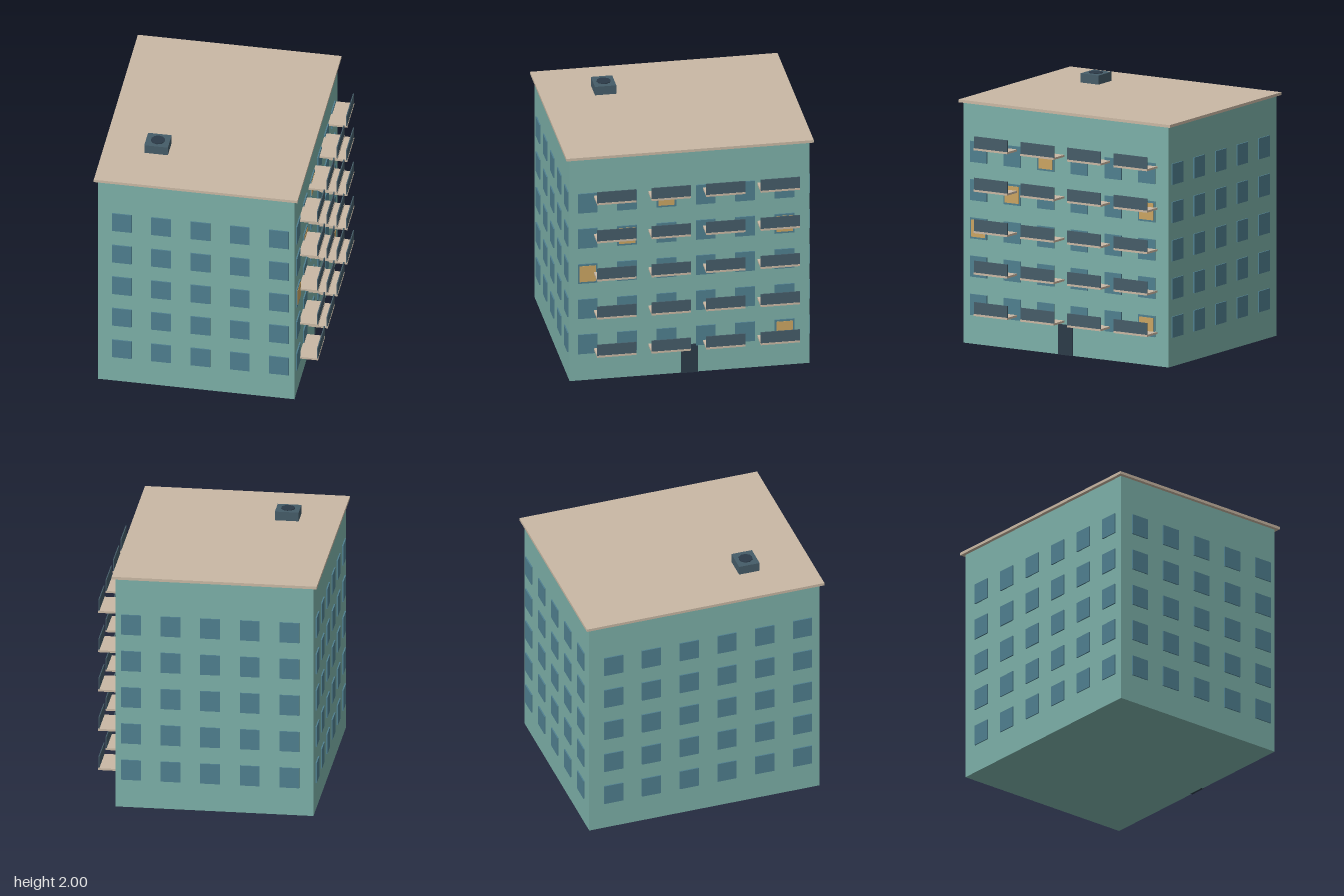
import * as THREE from 'three';

const mat = (color) => new THREE.MeshStandardMaterial({ color, flatShading: true });

export function createModel() {
  const wall = mat(0x7cb0a8), stone = mat(0xc9b8a4), glass = mat(0x4f7f8f);
  const slate = mat(0x455c68), dark = mat(0x2b3a48), glow = mat(0xc9a462);

  const model = new THREE.Group();
  model.name = 'apartmentBlock';

  // Box given by its extents along each axis
  function box(name, material, [x0, x1], [y0, y1], [z0, z1], parent = model) {
    const mesh = new THREE.Mesh(new THREE.BoxGeometry(x1 - x0, y1 - y0, z1 - z0), material);
    mesh.position.set((x0 + x1) / 2, (y0 + y1) / 2, (z0 + z1) / 2);
    mesh.name = name;
    parent.add(mesh);
    return mesh;
  }
  const around = (c, size) => [c - size / 2, c + size / 2];

  // Main volume and overhanging roof slab
  const west = -0.838, east = 0.709, depth = 0.945;
  box('walls', wall, [west, east], [0, 1.9], [-depth, depth]);
  box('roof', stone, [-0.867, 0.737], [1.9, 1.922], [-0.974, 0.974]);

  // Windows: five floors on all four sides
  const windows = new THREE.Group();
  windows.name = 'windows';
  model.add(windows);
  const proud = 0.01, W = 0.155, H = 0.165;
  const lit = ['0,5', '2,0', '3,1', '3,5', '4,2']; // floor,column on the balcony side
  for (let floor = 0; floor < 5; floor++) {
    const yc = 0.311 + floor * 0.302;
    const y = around(yc, H);
    for (let col = 0; col < 5; col++) {
      const x = around(-0.65 + col * 0.3095, W);
      box('frontWindow', glass, x, y, [depth - 0.01, depth + proud], windows);
      box('backWindow', glass, x, y, [-depth - proud, -depth + 0.01], windows);
    }
    for (let col = 0; col < 6; col++) {
      const zc = 0.803 - col * 0.31;
      const z = around(zc, W);
      box('rightWindow', glass, [east - 0.01, east + proud], y, z, windows);
      box('leftWindow', glass, [west - proud, west + 0.01], y, z, windows);
      if (lit.includes(`${floor},${col}`)) {
        box('litPane', glow, [east, east + proud + 0.003], around(yc, 0.135), around(zc, 0.128), windows);
      }
    }
  }

  // Balconies: slab with an upright front panel
  for (let floor = 0; floor < 5; floor++) {
    const y = 0.255 + floor * 0.3272;
    for (let col = 0; col < 4; col++) {
      const balcony = new THREE.Group();
      balcony.name = 'balcony';
      model.add(balcony);
      const z = around(0.6 - col * 0.4295, 0.308);
      box('balconySlab', stone, [east - 0.005, 0.861], [y, y + 0.016], z, balcony);
      box('balconyPanel', slate, [0.851, 0.859], [y + 0.016, y + 0.109], z, balcony);
    }
  }

  // Entrance door
  box('door', dark, [east - 0.01, east + proud], [0, 0.24], around(0.002, 0.134));

  // Roof vent with a round cap
  box('roofVent', slate, around(-0.451, 0.186), [1.922, 1.994], around(0.47, 0.168));
  const cap = new THREE.Mesh(new THREE.CylinderGeometry(0.055, 0.055, 0.02, 10), dark);
  cap.position.set(-0.451, 1.99, 0.47);
  cap.name = 'ventCap';
  model.add(cap);

  return model;
}
